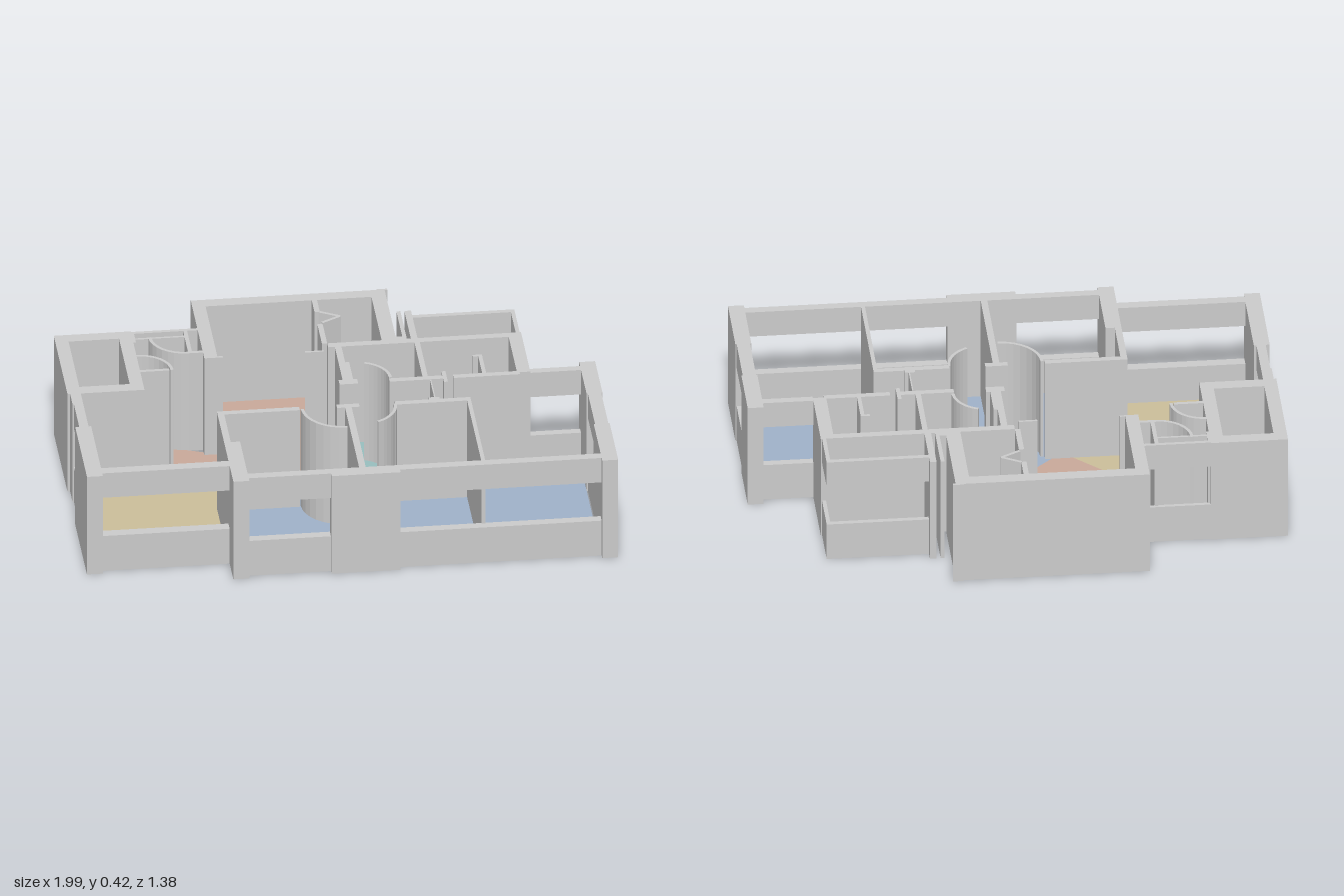
import * as THREE from 'three';

const H = 0.42, SILL = 0.15, HEAD = 0.315;

export function createModel() {
  const model = new THREE.Group();
  model.name = 'apartmentPlan';
  const grey = new THREE.MeshStandardMaterial({ color: 0xcccccc });

  // Box between plan corners (x0,z0)-(x1,z1) and heights y0..y1
  function block(parent, name, [x0, x1, z0, z1], y0 = 0, y1 = H) {
    const mesh = new THREE.Mesh(new THREE.BoxGeometry(x1 - x0, y1 - y0, z1 - z0), grey);
    mesh.position.set((x0 + x1) / 2, (y0 + y1) / 2, (z0 + z1) / 2);
    mesh.name = name;
    parent.add(mesh);
  }
  function group(name) {
    const g = new THREE.Group();
    g.name = name;
    model.add(g);
    return g;
  }

  // Outer walls, full height: x0, x1, z0, z1
  const outer = group('outerWalls');
  [
    [-0.45, 0.28, -0.69, -0.64], [-0.45, -0.40, -0.64, -0.25], // back bay
    [0.225, 0.28, -0.64, -0.31], [0.25, 0.29, -0.695, -0.685],
    [-0.99, -0.70, -0.485, -0.435], [-0.99, -0.94, -0.435, -0.09], // side shaft
    [-0.75, -0.70, -0.435, -0.09], [-0.99, -0.70, -0.09, -0.04],
    [-0.98, -0.94, -0.04, 0.04],
    [-0.99, -0.93, 0.21, 0.59], // side room corner
    [-0.45, -0.39, 0.39, 0.69], [-0.45, -0.425, 0.155, 0.39],
    [-0.08, 0.18, 0.635, 0.69], // pier between front windows
    [0.94, 1.0, -0.06, 0.18], [0.94, 1.0, 0.41, 0.69], // end wall
    [0.70, 0.75, -0.31, -0.01]
  ].forEach(b => block(outer, 'outerWall', b));

  // Walls with a full-width opening: sill below, lintel above
  const windows = group('windowWalls');
  [
    [-0.93, -0.45, 0.53, 0.57], [-0.39, -0.08, 0.635, 0.67],
    [0.18, 0.94, 0.635, 0.67], [0.945, 0.995, 0.18, 0.41],
    [0.75, 0.94, -0.03, 0], [-0.975, -0.94, 0.04, 0.21],
    [-0.70, -0.45, -0.48, -0.465],
    [0.36, 0.73, -0.485, -0.465], [0.73, 0.745, -0.485, -0.31]
  ].forEach(b => {
    block(windows, 'windowSill', b, 0, SILL);
    block(windows, 'windowLintel', b, HEAD, H);
  });

  // Inner partitions
  const inner = group('partitions');
  [
    [0, 0.02, -0.64, -0.55], [0, 0.02, -0.46, -0.31], // back store
    [0.02, 0.75, -0.31, -0.28],
    [0.045, 0.07, -0.28, 0], [0.345, 0.365, -0.28, 0], // bathrooms
    [0.03, 0.10, -0.03, 0.005], [0.22, 0.43, -0.02, 0.005],
    [0.46, 0.71, -0.02, 0.005],
    [0.07, 0.085, -0.16, -0.03], [0.57, 0.585, -0.16, -0.02],
    [0.55, 0.585, -0.16, -0.148], [0.42, 0.435, -0.05, 0.03],
    [-0.425, -0.14, 0.155, 0.18], [0, 0.085, 0.155, 0.18], // bedrooms
    [0.22, 0.505, 0.155, 0.18], [0.03, 0.055, 0.18, 0.64],
    [0.49, 0.505, 0.18, 0.64], [0.37, 0.375, 0.01, 0.14],
    [0.35, 0.39, 0.14, 0.165],
    [-0.70, -0.50, -0.43, -0.42], [-0.505, -0.49, -0.47, -0.31], // entry
    [-0.51, -0.45, -0.31, -0.295], [-0.71, -0.69, -0.47, -0.40],
    [-0.70, -0.59, -0.19, -0.175],
    [-0.45, -0.38, -0.26, -0.25], [-0.07, 0, -0.26, -0.25],
    [0.305, 0.32, -0.52, -0.31], [0.335, 0.36, -0.52, -0.30], // service slot
    [0.26, 0.32, -0.33, -0.31]
  ].forEach(b => block(inner, 'partition', b));

  // Thin full-height strip along a plan path
  function strip(parent, name, points, t = 0.012) {
    for (let i = 0; i < points.length - 1; i++) {
      const [ax, az] = points[i], [bx, bz] = points[i + 1];
      const mesh = new THREE.Mesh(
        new THREE.BoxGeometry(Math.hypot(bx - ax, bz - az) + t * 0.3, H, t), grey);
      mesh.position.set((ax + bx) / 2, H / 2, (az + bz) / 2);
      mesh.rotation.y = -Math.atan2(bz - az, bx - ax);
      mesh.name = name;
      parent.add(mesh);
    }
  }

  // Door swing arcs: centre x, z, radius, start and end angle in degrees (x towards z)
  const doors = group('doorSwings');
  [
    [0.02, 0.175, 0.15, 90, 180], [0.085, 0.175, 0.135, 0, 65],
    [-0.70, -0.18, 0.12, -90, 0], [-0.505, -0.43, 0.13, 90, 180],
    [0.10, -0.03, 0.125, -70, 0]
  ].forEach(([cx, cz, r, a0, a1]) => {
    const pts = [];
    for (let i = 0; i <= 8; i++) {
      const a = THREE.MathUtils.degToRad(a0 + (a1 - a0) * i / 8);
      pts.push([cx + r * Math.cos(a), cz + r * Math.sin(a)]);
    }
    strip(doors, 'doorSwing', pts);
  });
  strip(doors, 'foldingDoor', [[0.02, -0.55], [0.09, -0.51], [0.02, -0.47]]);

  // Coloured floors: plan outlines as x, z pairs
  const floors = group('floors');
  function floor(name, color, outline) {
    const shape = new THREE.Shape(outline.map(([x, z]) => new THREE.Vector2(x, -z)));
    const geo = new THREE.ExtrudeGeometry(shape, { depth: 0.004, bevelEnabled: false });
    geo.rotateX(-Math.PI / 2);
    const mesh = new THREE.Mesh(geo, new THREE.MeshStandardMaterial({ color }));
    mesh.name = name;
    floors.add(mesh);
  }
  const rect = (x0, x1, z0, z1) => [[x0, z0], [x1, z0], [x1, z1], [x0, z1]];
  floor('livingFloor', 0xcaaa9a, [[-0.40, -0.64], [0, -0.64], [0, 0], [-0.17, 0.16],
    [-0.24, 0.16], [-0.58, -0.18], [-0.60, -0.25], [-0.70, -0.31], [-0.70, -0.40],
    [-0.62, -0.33], [-0.50, -0.29], [-0.40, -0.25]]);
  floor('sideRoomFloor', 0xccbf9a, [[-0.94, -0.04], [-0.70, -0.04], [-0.70, -0.18],
    [-0.58, -0.18], [-0.24, 0.16], [-0.45, 0.16], [-0.45, 0.53], [-0.94, 0.53]]);
  floor('bedroomFloor', 0xa0b2ca, [[0, 0], [0.94, 0], [0.94, 0.64], [-0.39, 0.64],
    [-0.43, 0.39], [-0.43, 0.16], [-0.17, 0.16]]);
  floor('bathroomFloor', 0x98bfbf, rect(0.07, 0.345, -0.28, -0.01));
  floor('secondBathroomFloor', 0x98bfbf, rect(0.365, 0.70, -0.28, -0.01));
  floor('storeFloor', 0xb0b3a8, rect(0.02, 0.225, -0.64, -0.31));
  floor('entryClosetFloor', 0xb0b3a8, [[-0.635, -0.42], [-0.505, -0.42],
    [-0.505, -0.30], [-0.56, -0.31], [-0.61, -0.36]]);
  floor('balconyFloor', 0xa6a6a6, rect(0.36, 0.73, -0.467, -0.31));
  floor('shaftFloor', 0xa09fa9, rect(-0.94, -0.75, -0.435, -0.09));
  floor('hallEdgeFloor', 0xcccccc, rect(0, 0.045, -0.31, 0));

  return model;
}
